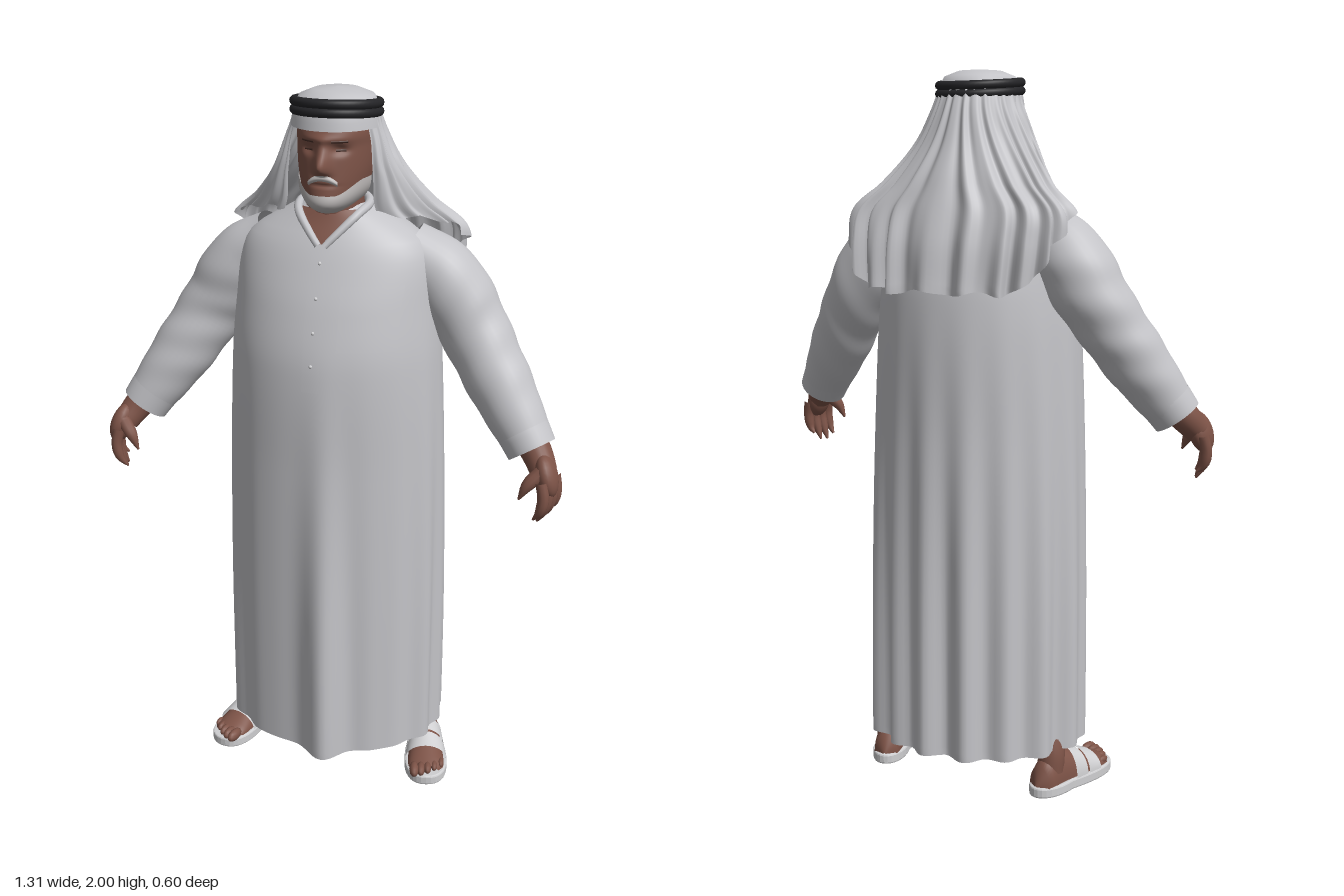
import * as THREE from 'three';
import { mergeVertices } from 'three/addons/utils/BufferGeometryUtils.js';

const V = (x, y, z) => new THREE.Vector3(x, y, z);
const { lerp, smoothstep, clamp } = THREE.MathUtils;
const mat = (name, color, side = THREE.FrontSide) => {
  const m = new THREE.MeshStandardMaterial({ color, side });
  m.name = name;
  return m;
};

// Smooth lookup in a table of [key, value] pairs with rising keys
function tab(p, k) {
  k = clamp(k, p[0][0], p[p.length - 1][0]);
  let i = 0;
  while (i < p.length - 2 && k > p[i + 1][0]) i++;
  const slope = j => {
    const a = p[Math.max(j - 1, 0)], b = p[Math.min(j + 1, p.length - 1)];
    return (b[1] - a[1]) / (b[0] - a[0]);
  };
  const h = p[i + 1][0] - p[i][0], t = (k - p[i][0]) / h, t2 = t * t, t3 = t2 * t;
  return (2 * t3 - 3 * t2 + 1) * p[i][1] + (t3 - 2 * t2 + t) * h * slope(i)
    + (3 * t2 - 2 * t3) * p[i + 1][1] + (t3 - t2) * h * slope(i + 1);
}

// Smooth surface from a rule (u, v in 0..1) -> point
function surface(fn, nu, nv) {
  const pos = [], idx = [];
  for (let j = 0; j <= nv; j++) for (let i = 0; i <= nu; i++) pos.push(...fn(i / nu, j / nv).toArray());
  for (let j = 0; j < nv; j++) for (let i = 0; i < nu; i++) {
    const a = j * (nu + 1) + i, c = a + nu + 1;
    idx.push(a, a + 1, c, a + 1, c + 1, c);
  }
  let g = new THREE.BufferGeometry();
  g.setAttribute('position', new THREE.Float32BufferAttribute(pos, 3));
  g.setIndex(idx);
  g = mergeVertices(g, 1e-5);
  g.computeVertexNormals();
  return g;
}

// Tube with changing radius, optionally wrinkled
function limb(points, radii, nu = 20, nv = 16, wrinkle = 0) {
  const curve = new THREE.CatmullRomCurve3(points);
  const f = curve.computeFrenetFrames(nv);
  const table = radii.map((r, i) => [i / (radii.length - 1), r]);
  return surface((u, v) => {
    const j = Math.round(v * nv), a = u * Math.PI * 2;
    const r = tab(table, v) + wrinkle * Math.sin(v * 34 + 3 * Math.sin(a)) * Math.sin(Math.PI * v);
    return curve.getPointAt(v).addScaledVector(f.normals[j], r * Math.cos(a)).addScaledVector(f.binormals[j], r * Math.sin(a));
  }, nu, nv);
}

// Robe outline by height: half width, front depth, back depth
const robeW = [[0.13, 0.318], [0.6, 0.315], [1.0, 0.306], [1.3, 0.292], [1.45, 0.278], [1.56, 0.265], [1.62, 0.235], [1.67, 0.16], [1.71, 0.085]];
const robeF = [[0.13, 0.25], [0.6, 0.25], [1.0, 0.245], [1.3, 0.235], [1.45, 0.2], [1.56, 0.158], [1.62, 0.13], [1.67, 0.1], [1.71, 0.08]];
const robeB = [[0.13, 0.285], [0.6, 0.28], [1.0, 0.272], [1.4, 0.258], [1.56, 0.215], [1.64, 0.16], [1.71, 0.075]];
function robePoint(a, y, off = 0) {
  const k = 1 - smoothstep(y, 0.2, 1.5), back = 0.5 - 0.5 * Math.cos(a);
  const fold = k * (0.004 * Math.sin(11 * a + 1) + (0.001 + 0.015 * back) * Math.sin(17 * a))
    + 0.05 * (1 - smoothstep(y, 0.1, 1.45)) * Math.exp(-(((a - 0.13) / 0.16) ** 2)) + off;
  const c = Math.cos(a), d = c > 0 ? tab(robeF, y) : tab(robeB, y);
  return V((tab(robeW, y) + fold) * Math.sin(a), y, (d + fold) * c);
}
// Point of the chest at a given x and y, and a thin plate following it
const chestPoint = (x, y, off) => robePoint(Math.asin(x / tab(robeW, y)), y, off);
const chestPlate = (x0, x1, y0, y1, off) =>
  surface((u, v) => chestPoint(lerp(x0, x1, u), lerp(y0, y1, v), off), 12, 16);

// Head outline by height, with nose and eye sockets
const headW = [[1.685, 0.002], [1.695, 0.045], [1.73, 0.077], [1.79, 0.095], [1.86, 0.1], [1.92, 0.096], [1.97, 0.05]];
const headF = [[1.685, 0.06], [1.695, 0.105], [1.72, 0.132], [1.77, 0.13], [1.81, 0.125], [1.86, 0.119], [1.91, 0.115], [1.97, 0.05]];
const nose = [[1.793, 0], [1.808, 0.03], [1.823, 0.038], [1.85, 0.021], [1.878, 0.006], [1.9, 0]];
function headPoint(a, y, off = 0) {
  const c = Math.cos(a), x = (tab(headW, y) + off) * Math.sin(a);
  let z = (c > 0 ? tab(headF, y) : 0.085) * c + off * c;
  if (c > 0) {
    z += tab(nose, y) * Math.exp(-((x / 0.018) ** 2));
    z -= 0.011 * Math.exp(-(((Math.abs(x) - 0.042) / 0.02) ** 2) - ((y - 1.858) / 0.012) ** 2);
    z += 0.007 * Math.exp(-((x / 0.06) ** 2) - ((y - 1.885) / 0.01) ** 2);
    z -= 0.006 * Math.exp(-((x / 0.03) ** 2) - ((y - 1.77) / 0.004) ** 2);
  }
  return V(x, y, z);
}
const facePatch = (a0, a1, y0, y1, off) => surface((u, v) => {
  const a = lerp(a0, a1, u);
  return headPoint(a, lerp(y0(a), y1(a), v), off * (0.4 + 0.6 * Math.sin(Math.PI * v)));
}, 40, 10);

// Headscarf outline by height; the hem rises from the back to the front
const scarfW = [[1.42, 0.315], [1.55, 0.325], [1.63, 0.315], [1.7, 0.24], [1.8, 0.168], [1.89, 0.128], [1.945, 0.11]];
const scarfB = [[1.42, 0.275], [1.55, 0.258], [1.7, 0.21], [1.8, 0.17], [1.9, 0.138], [1.945, 0.12]];
const scarfOpen = [[1.42, 2.7], [1.7, 2.7], [1.8, 2.48], [1.88, 2.25], [1.945, 2.2]];
const scarfHem = [[0, 1.415], [0.28, 1.43], [0.42, 1.53], [0.6, 1.625], [0.8, 1.665], [1, 1.69]];
const bulge = (w, e) => Math.sign(w) * Math.abs(w) ** e;
function scarfPoint(u, v) {
  const t = 1 - 2 * u;
  const y = lerp(tab(scarfHem, Math.abs(t)) + 0.007 * Math.sin(t * 40), 1.945, v);
  const a = t * tab(scarfOpen, y), c = Math.cos(a), e = lerp(0.8, 1, smoothstep(v, 0.4, 1));
  const p = (0.002 + 0.011 * (1 - v)) * (0.4 + 0.6 * (1 - t * t)) * (Math.sin(t * 62) + 0.4 * Math.sin(t * 97 + 1 + 2 * v));
  const depth = c > 0 ? tab(scarfB, y) : lerp(0.055, 0.075, v);
  const x = (tab(scarfW, y) + p) * bulge(Math.sin(a), e);
  const sweep = 0.1 * smoothstep(Math.abs(x), 0.12, 0.31) * (1 - Math.max(c, 0));
  return V(x, y, -(depth + p) * bulge(c, e) - sweep);
}

export function createModel() {
  const M = {
    cloth: mat('white cloth', 0xc3c3c7, THREE.DoubleSide),
    skin: mat('brown skin', 0x7d5347),
    cord: mat('black cord', 0x242427),
    hair: mat('grey beard', 0xb9b5b4, THREE.DoubleSide),
    leather: mat('pale leather', 0xcfcfd1, THREE.DoubleSide),
    dark: mat('dark brown', 0x4a3029, THREE.DoubleSide),
  };
  const model = new THREE.Group();
  const add = (name, geo, m, parent = model) => {
    const mesh = new THREE.Mesh(geo, m);
    mesh.name = name;
    parent.add(mesh);
    return mesh;
  };

  // Robe with underside, placket, buttons and pocket
  add('robe', surface((u, v) => robePoint((u * 2 - 1) * Math.PI, lerp(0.13, 1.71, v)), 160, 70), M.cloth);
  add('robeUnderside', surface((u, v) => robePoint((u * 2 - 1) * Math.PI, 0.15).multiply(V(1 - v, 1, 1 - v)), 160, 4), M.cloth);
  add('placket', chestPlate(-0.022, 0.026, 1.25, 1.62, 0.006), M.cloth);
  add('pocket', chestPlate(0.065, 0.21, 1.36, 1.52, 0.006), M.cloth);
  add('pocketHem', chestPlate(0.063, 0.212, 1.495, 1.525, 0.009), M.cloth);
  for (let i = 0; i < 4; i++) {
    const b = add('button', new THREE.SphereGeometry(0.005, 10, 8), M.leather);
    b.position.copy(chestPoint(0.002, 1.32 + i * 0.085, 0.005));
  }

  // Neck in an open collar
  add('neck', limb([V(0, 1.6, 0), V(0, 1.68, 0.015), V(0, 1.77, 0.02)], [0.08, 0.079, 0.076]), M.skin);
  add('neckOpening', surface((u, v) =>
    chestPoint((u * 2 - 1) * lerp(0.004, 0.072, v), lerp(1.618, 1.7, v), 0.004), 12, 14), M.skin);
  for (const s of [-1, 1]) add('collar', limb([chestPoint(s * 0.008, 1.615, 0.006), chestPoint(s * 0.042, 1.652, 0.007),
    chestPoint(s * 0.075, 1.69, 0.008), V(s * 0.092, 1.705, 0.01), V(s * 0.06, 1.71, -0.06), V(0, 1.71, -0.085)],
  [0.009, 0.011, 0.012, 0.012, 0.012], 10, 30), M.cloth);

  // Head, beard and features
  add('head', surface((u, v) => headPoint((u * 2 - 1) * Math.PI, lerp(1.685, 1.97, v)), 110, 70), M.skin);
  add('beard', facePatch(-1.5, 1.5, a => 1.695 + 0.025 * smoothstep(Math.abs(a), 0.6, 1.5),
    a => 1.745 + 0.035 * smoothstep(Math.abs(a), 0.35, 1.2), 0.008), M.hair);
  add('moustache', facePatch(-0.42, 0.42, a => 1.782 - 0.08 * a * a, a => 1.798 - 0.1 * a * a, 0.007), M.hair);
  for (const s of [-1, 1]) {
    add('eye', facePatch(s * 0.44 - 0.13, s * 0.44 + 0.13, () => 1.854, () => 1.86, 0.003), M.dark);
    add('eyebrow', facePatch(s * 0.43 - 0.2, s * 0.43 + 0.2, () => 1.877, () => 1.883, 0.003), M.dark);
  }

  // Headscarf, its crown and the double cord
  add('headscarf', surface(scarfPoint, 220, 40), M.cloth);
  const profile = [[0.119, 1.906], [0.116, 1.925], [0.11, 1.955], [0.097, 1.98], [0.06, 1.995], [0, 2.0]];
  add('crown', new THREE.LatheGeometry(profile.map(p => new THREE.Vector2(...p)), 48), M.cloth).scale.z = 1.07;
  for (const h of [-0.011, 0.011]) {
    const ring = new THREE.TorusGeometry(0.109, 0.0125, 12, 56).rotateX(Math.PI / 2).scale(1, 1, 1.07).rotateX(-0.09);
    add('headCord', ring, M.cord).position.y = 1.951 + h;
  }

  for (const s of [-1, 1]) {
    // Sleeve and cuff
    add('sleeve', limb([V(s * 0.18, 1.585, -0.035), V(s * 0.275, 1.515, -0.045), V(s * 0.355, 1.4, -0.045), V(s * 0.442, 1.265, -0.008), V(s * 0.56, 1.088, 0.053)],
      [0.078, 0.102, 0.094, 0.086, 0.066], 32, 48, 0.002), M.cloth);
    add('cuff', limb([V(s * 0.536, 1.125, 0.041), V(s * 0.55, 1.104, 0.048), V(s * 0.564, 1.082, 0.055)], [0.072, 0.07, 0.068], 32, 4), M.cloth);

    // Hand
    const hand = new THREE.Group();
    hand.name = 'hand';
    hand.position.x = s * 0.01;
    model.add(hand);
    add('wrist', limb([V(s * 0.53, 1.13, 0.045), V(s * 0.57, 1.08, 0.07), V(s * 0.597, 1.04, 0.1)], [0.045, 0.042, 0.036]), M.skin, hand);
    const palm = add('palm', new THREE.SphereGeometry(1, 20, 14), M.skin, hand);
    palm.scale.set(0.03, 0.06, 0.046);
    palm.position.set(s * 0.605, 1.035, 0.108);
    palm.rotation.set(-0.25, 0, s * 0.3);
    for (let i = 0; i < 4; i++) {
      const z = 0.078 + i * 0.023, x = 0.63 - i * 0.008, tip = [0.93, 0.908, 0.906, 0.92][i];
      add('finger', limb([V(s * (x - 0.008), 1.03, z), V(s * x, 0.985, z + 0.006), V(s * (x - 0.008), 0.945, z + 0.006), V(s * (x - 0.025), tip, z)],
        [0.016, 0.0155, 0.014, 0.003], 10, 10), M.skin, hand);
    }
    add('thumb', limb([V(s * 0.593, 1.05, 0.125), V(s * 0.56, 1.015, 0.145), V(s * 0.54, 0.975, 0.15)], [0.021, 0.017, 0.003], 10, 10), M.skin, hand);

    // Foot in an open sandal
    const foot = new THREE.Group();
    foot.name = 'foot';
    foot.position.set(s * 0.285, 0, 0);
    foot.rotation.y = s * 0.26;
    model.add(foot);
    const sole = new THREE.Shape();
    sole.moveTo(0, 0.16);
    sole.bezierCurveTo(0.08, 0.16, 0.06, 0.03, 0.045, -0.04);
    sole.bezierCurveTo(0.06, -0.19, -0.06, -0.19, -0.045, -0.04);
    sole.bezierCurveTo(-0.06, 0.03, -0.08, 0.16, 0, 0.16);
    const soleGeo = new THREE.ExtrudeGeometry(sole, { depth: 0.02, bevelSize: 0.005, bevelThickness: 0.005, bevelSegments: 2, curveSegments: 16 });
    add('sandalSole', soleGeo.rotateX(Math.PI / 2).translate(0, 0.025, 0), M.leather, foot);
    const footW = [[-0.15, 0.004], [-0.135, 0.034], [-0.06, 0.04], [0.05, 0.052], [0.115, 0.052], [0.135, 0.036]];
    const footH = [[-0.15, 0.004], [-0.13, 0.06], [-0.07, 0.085], [0, 0.068], [0.06, 0.045], [0.135, 0.02]];
    const upper = (z0, z1, off) => surface((u, v) => {
      const z = lerp(z0, z1, v), a = Math.PI * u;
      return V((tab(footW, z) + off) * Math.cos(a), 0.028 + (tab(footH, z) + off) * Math.sin(a), z);
    }, 20, 16);
    add('footTop', upper(-0.15, 0.135, 0), M.skin, foot);
    add('sandalStrap', upper(-0.025, 0.02, 0.008), M.leather, foot);
    add('sandalStrap', upper(0.027, 0.075, 0.008), M.leather, foot);
    for (let i = 0; i < 5; i++) {
      const toe = add('toe', new THREE.SphereGeometry(1, 12, 8), M.skin, foot);
      const r = 0.018 - i * 0.0018;
      toe.scale.set(r * 0.8, r, r * 1.7);
      toe.position.set(s * (-0.036 + i * 0.02), 0.04, 0.142 - i * i * 0.0022);
    }
    add('leg', limb([V(0, 0.06, -0.085), V(0, 0.11, -0.08), V(s * -0.015, 0.17, -0.07)], [0.038, 0.038, 0.04]), M.skin, foot);
  }
  return model;
}
